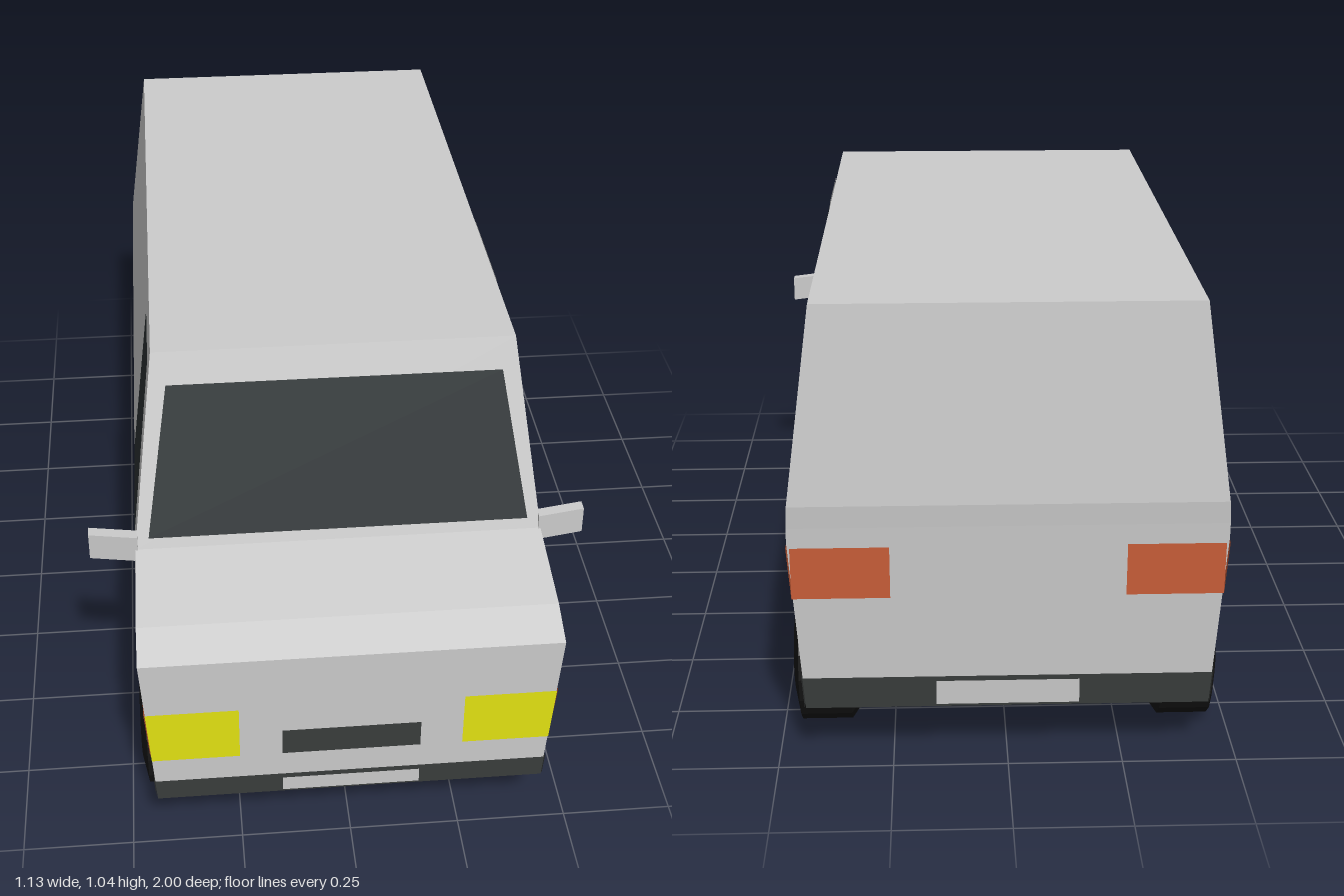
import * as THREE from 'three';

// Body levels from sill to roof: [y, half width, front z, back z]
const LEVELS = [
  [0.13, 0.438, 0.99, -0.968],
  [0.53, 0.464, 1.0, -0.994],
  [0.565, 0.464, 0.91, -0.996],
  [0.615, 0.461, 0.70, -1.0],
  [1.04, 0.405, 0.55, -0.963],
];

const paint = (color, side = THREE.FrontSide) =>
  new THREE.MeshStandardMaterial({ color, side, flatShading: true });
const GREY = 0xcccccc, GLASS = 0x2b3133, TRIM = 0x3a3d3c;
const AMBER = 0xcc5f3a, YELLOW = 0xe4e412, RUBBER = 0x151515;

// Interpolated body dimension at a height (1 = half width, 2 = front, 3 = back)
function bodyAt(y, k) {
  let i = 0;
  while (i < LEVELS.length - 2 && y > LEVELS[i + 1][0]) i++;
  const a = LEVELS[i], b = LEVELS[i + 1];
  return a[k] + (b[k] - a[k]) * (y - a[0]) / (b[0] - a[0]);
}

// Flat-shaded mesh from quads of [x, y, z] corners, counter-clockwise outside
function quadMesh(name, quads, color, side) {
  const pos = quads.flatMap(([a, b, c, d]) => [a, b, c, a, c, d]).flat();
  const geo = new THREE.BufferGeometry();
  geo.setAttribute('position', new THREE.Float32BufferAttribute(pos, 3));
  geo.computeVertexNormals();
  const mesh = new THREE.Mesh(geo, paint(color, side));
  mesh.name = name;
  return mesh;
}

// Panel lying on a side wall; corners are [z, y]
function sidePanel(name, s, corners, color, lift = 0.003) {
  const quad = corners.map(([z, y]) => [s * (bodyAt(y, 1) + lift), y, z]);
  return quadMesh(name, [quad], color, THREE.DoubleSide);
}

// Panel lying on the front (k = 2) or back (k = 3); corners are [x, y]
function endPanel(name, k, corners, color, lift = 0.003) {
  const out = k === 2 ? lift : -lift;
  const quad = corners.map(([x, y]) => [x, y, bodyAt(y, k) + out]);
  return quadMesh(name, [quad], color, THREE.DoubleSide);
}

const rect = (a0, b0, a1, b1) => [[a0, b0], [a1, b0], [a1, b1], [a0, b1]];

function makeBody() {
  const rings = LEVELS.map(([y, w, f, b]) => [[-w, y, f], [w, y, f], [w, y, b], [-w, y, b]]);
  const quads = [rings.at(-1), [...rings[0]].reverse()];
  for (let i = 0; i < rings.length - 1; i++)
    for (let j = 0; j < 4; j++) {
      const n = (j + 1) % 4;
      quads.push([rings[i][j], rings[i][n], rings[i + 1][n], rings[i + 1][j]]);
    }
  return quadMesh('body', quads, GREY);
}

// Tyre with a bulging sidewall plus a grey hub disc
function makeWheel(s, z) {
  const wheel = new THREE.Group();
  wheel.name = 'wheel';
  const profile = [[0, 0.33], [0.14, 0.33], [0.162, 0.345], [0.162, 0.458], [0.1, 0.472], [0.094, 0.467], [0, 0.467]];
  const tyre = new THREE.Mesh(
    new THREE.LatheGeometry(profile.map(([r, x]) => new THREE.Vector2(r, x)), 18), paint(RUBBER));
  tyre.name = 'tyre';
  const hub = new THREE.Mesh(new THREE.CylinderGeometry(0.095, 0.095, 0.01, 18), paint(GREY));
  hub.name = 'hub';
  hub.position.y = 0.465;
  wheel.add(tyre, hub);
  wheel.rotation.z = -s * Math.PI / 2;
  wheel.position.set(0, 0.161, z);
  return wheel;
}

// Mirror swept back and slightly down towards its tip
function makeMirror(s) {
  const geo = new THREE.BoxGeometry(0.11, 0.065, 0.028);
  const p = geo.attributes.position;
  for (let i = 0; i < p.count; i++) {
    const t = p.getX(i) * s;
    p.setY(i, p.getY(i) - t * 0.05);
    p.setZ(i, p.getZ(i) - t * 0.25);
  }
  geo.computeVertexNormals();
  const mirror = new THREE.Mesh(geo, paint(GREY));
  mirror.name = 'wingMirror';
  mirror.position.set(s * 0.51, 0.614, 0.675);
  return mirror;
}

export function createModel() {
  const van = new THREE.Group();
  van.name = 'van';
  van.add(makeBody());

  // Front: windscreen, grille, bumper, plate
  van.add(endPanel('windscreen', 2, [[-0.43, 0.64], [0.43, 0.64], [0.375, 0.97], [-0.375, 0.97]], GLASS));
  van.add(endPanel('grille', 2, rect(-0.155, 0.25, 0.155, 0.32), TRIM));

  // Bumpers and plates at both ends
  for (const [k, top] of [[2, 0.185], [3, 0.205]]) {
    const lo = bodyAt(0.13, 1), hi = bodyAt(top, 1);
    van.add(endPanel('bumper', k, [[-lo, 0.13], [lo, 0.13], [hi, top], [-hi, top]], TRIM));
    van.add(endPanel('numberPlate', k, rect(-0.155, 0.137, 0.155, top - 0.01), GREY, 0.006));
  }

  for (const s of [1, -1]) {
    // Lamps
    van.add(endPanel('headlight', 2, [[s * 0.25, 0.25], [s * 0.446, 0.25], [s * 0.455, 0.39], [s * 0.25, 0.39]], YELLOW));
    van.add(endPanel('tailLight', 3, rect(s * 0.25, 0.4, s * 0.458, 0.52), AMBER));
    van.add(sidePanel('tailLightSide', s, [[-0.925, 0.4], [-0.986, 0.4], [-0.993, 0.52], [-0.925, 0.52]], AMBER));
    van.add(sidePanel('sideMarker', s, [[0.91, 0.265], [0.985, 0.25], [0.996, 0.39], [0.915, 0.41]], AMBER));

    // Bumper ends
    van.add(sidePanel('frontBumperEnd', s, [[0.905, 0.13], [0.99, 0.13], [0.991, 0.185], [0.91, 0.185]], TRIM));
    van.add(sidePanel('rearBumperEnd', s, [[-0.905, 0.13], [-0.968, 0.13], [-0.973, 0.205], [-0.905, 0.205]], TRIM));

    // Front door
    van.add(sidePanel('frontDoorWindow', s, [[0.665, 0.64], [0.345, 0.645], [0.303, 1.005], [0.528, 1.005]], GLASS));
    van.add(sidePanel('frontDoorHandle', s, [[0.463, 0.565], [0.35, 0.582], [0.352, 0.602], [0.458, 0.586]], TRIM));

    van.add(makeMirror(s));
    for (const z of [0.743, -0.743]) van.add(makeWheel(s, z));
  }

  // Sliding door on the left side only, slightly raised
  const heights = [0.14, 0.53, 0.565, 0.615, 1.03];
  for (let i = 0; i < heights.length - 1; i++)
    van.add(sidePanel('slidingDoor', 1, rect(-0.02, heights[i], 0.28, heights[i + 1]), GREY, 0.004));
  van.add(sidePanel('slidingDoorWindow', 1, [[0.265, 0.643], [0.013, 0.647], [0, 0.99], [0.222, 0.985]], GLASS, 0.008));
  van.add(sidePanel('slidingDoorHandle', 1, [[0.135, 0.567], [0.02, 0.567], [0.025, 0.595], [0.14, 0.595]], TRIM, 0.008));

  return van;
}
